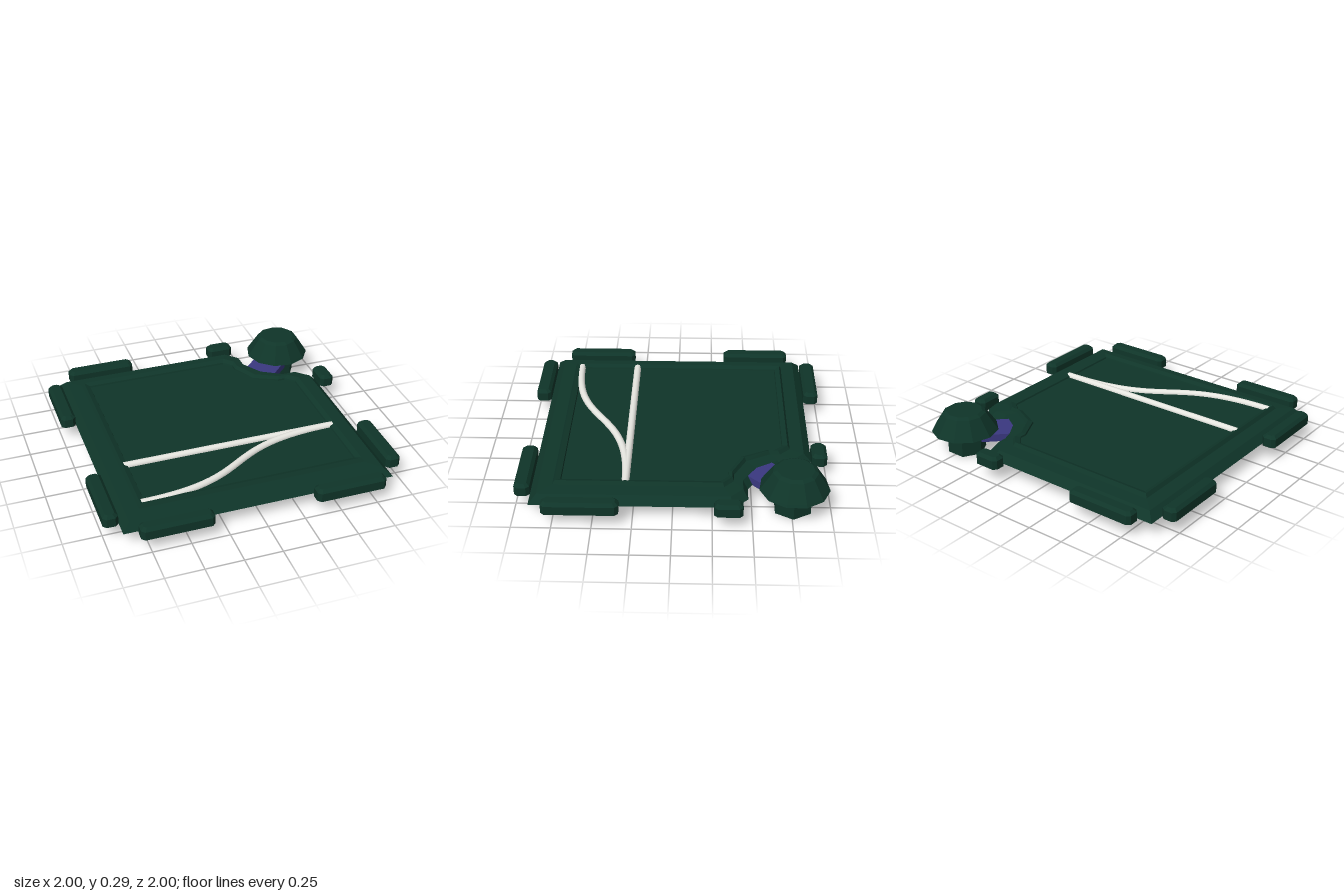
import * as THREE from 'three';

const green = new THREE.MeshStandardMaterial({ color: 0x0f3529, flatShading: true, side: THREE.DoubleSide });
green.name = 'dark green';
const white = new THREE.MeshStandardMaterial({ color: 0xe6e6e0, side: THREE.DoubleSide });
white.name = 'off white';
const violet = new THREE.MeshStandardMaterial({ color: 0x3a3880 });
violet.name = 'violet';

// Joins outlines of [x, back] points at rising heights; outlines run counterclockwise seen from above.
function loft(layers, closeBottom) {
  const pos = [];
  const put = (layer, i) => pos.push(layer.pts[i][0], layer.y, -layer.pts[i][1]);
  const n = layers[0].pts.length;
  for (let k = 0; k + 1 < layers.length; k++) {
    const lo = layers[k], hi = layers[k + 1];
    for (let i = 0; i < n; i++) {
      const j = (i + 1) % n;
      put(lo, i); put(lo, j); put(hi, j);
      put(lo, i); put(hi, j); put(hi, i);
    }
  }
  const cap = (layer, flip) => {
    const flat = layer.pts.map(([x, v]) => new THREE.Vector2(x, v));
    for (const [a, b, c] of THREE.ShapeUtils.triangulateShape(flat, [])) {
      (flip ? [c, b, a] : [a, b, c]).forEach(i => put(layer, i));
    }
  };
  cap(layers[layers.length - 1], false);
  if (closeBottom) cap(layers[0], true);
  const geo = new THREE.BufferGeometry();
  geo.setAttribute('position', new THREE.Float32BufferAttribute(pos, 3));
  geo.computeVertexNormals();
  return geo;
}

// Square outline of half size h whose back left corner is cut by a stepped notch.
function plateOutline(h) {
  const mix = (a, b) => THREE.MathUtils.lerp(a, b, (0.9 - h) / 0.19);
  const a = mix(0.385, 0.30), step = mix(0.475, 0.355);
  const b = mix(0.81, 0.65), c = mix(0.70, 0.60), mid = mix(0.565, 0.435);
  return [[-h, -h], [h, -h], [h, a], [b, step], [c, step], [mid, mid],
    [step, c], [step, b], [a, h], [-h, h]];
}

// Rectangle with cut corners, for the edge tabs.
function tabOutline(hx, hz, cut) {
  return [[-hx + cut, -hz], [hx - cut, -hz], [hx, -hz + cut], [hx, hz - cut],
    [hx - cut, hz], [-hx + cut, hz], [-hx, hz - cut], [-hx, -hz + cut]];
}

export function createModel() {
  const model = new THREE.Group();
  model.name = 'trackTile';
  const add = (name, geo, mat, x = 0, y = 0, z = 0) => {
    const mesh = new THREE.Mesh(geo, mat);
    mesh.name = name;
    mesh.position.set(x, y, z);
    model.add(mesh);
    return mesh;
  };

  // Open-bottomed plate: bevelled edge, flat rim, raised border, floor
  const profile = [[0.9, 0.10], [0.85, 0.15], [0.76, 0.156], [0.745, 0.181], [0.712, 0.168], [0.708, 0.157]];
  add('plate', loft(profile.map(([h, y]) => ({ pts: plateOutline(h), y })), false), green);

  // Tabs around the edge: [side, start, end]
  const tabs = [
    ['front', -0.81, -0.34], ['front', 0.335, 0.81],
    ['back', -0.81, -0.34], ['back', 0.26, 0.44],
    ['right', -0.81, -0.34], ['right', 0.33, 0.81],
    ['left', -0.44, -0.26], ['left', 0.33, 0.81],
  ];
  for (const [side, from, to] of tabs) {
    const along = side === 'front' || side === 'back';
    const sign = side === 'front' || side === 'left' ? 1 : -1;
    const half = (to - from) / 2, mid = (from + to) / 2;
    const hx = along ? half : 0.05, hz = along ? 0.05 : half;
    const geo = loft([
      { pts: tabOutline(hx, hz, 0.022), y: 0.10 },
      { pts: tabOutline(hx, hz, 0.022), y: 0.16 },
      { pts: tabOutline(hx - 0.02, hz - 0.02, 0.015), y: 0.18 },
    ], true);
    add(side + 'Tab', geo, green, along ? mid : sign * 0.95, 0, along ? sign * 0.95 : mid);
  }

  // White rails, half sunk into the floor
  const y = 0.158;
  const straight = new THREE.LineCurve3(new THREE.Vector3(-0.735, y, 0.3), new THREE.Vector3(0.735, y, 0.3));
  const branch = new THREE.CubicBezierCurve3(
    new THREE.Vector3(-0.735, y, 0.71), new THREE.Vector3(0.08, y, 0.71),
    new THREE.Vector3(-0.13, y, 0.3), new THREE.Vector3(0.735, y, 0.3));
  add('straightRail', new THREE.TubeGeometry(straight, 1, 0.025, 12), white);
  add('branchRail', new THREE.TubeGeometry(branch, 32, 0.025, 12), white);

  // Knob in the notch
  add('knobStem', new THREE.CylinderGeometry(0.13, 0.13, 0.16, 6, 1, false, Math.PI / 2), green, 0.75, 0.08, -0.758);
  const cap = [[0, 0.155], [0.225, 0.155], [0.215, 0.172], [0.145, 0.28], [0.12, 0.295], [0, 0.295]];
  add('knobCap', new THREE.LatheGeometry(cap.map(p => new THREE.Vector2(...p)), 11, -Math.PI / 2),
    green, 0.75, 0, -0.765);

  // Violet bridge from plate to knob
  const bridge = add('knobBridge', new THREE.BoxGeometry(0.24, 0.052, 0.22), violet, 0.595, 0.122, -0.605);
  bridge.rotation.y = Math.PI / 4;

  return model;
}
